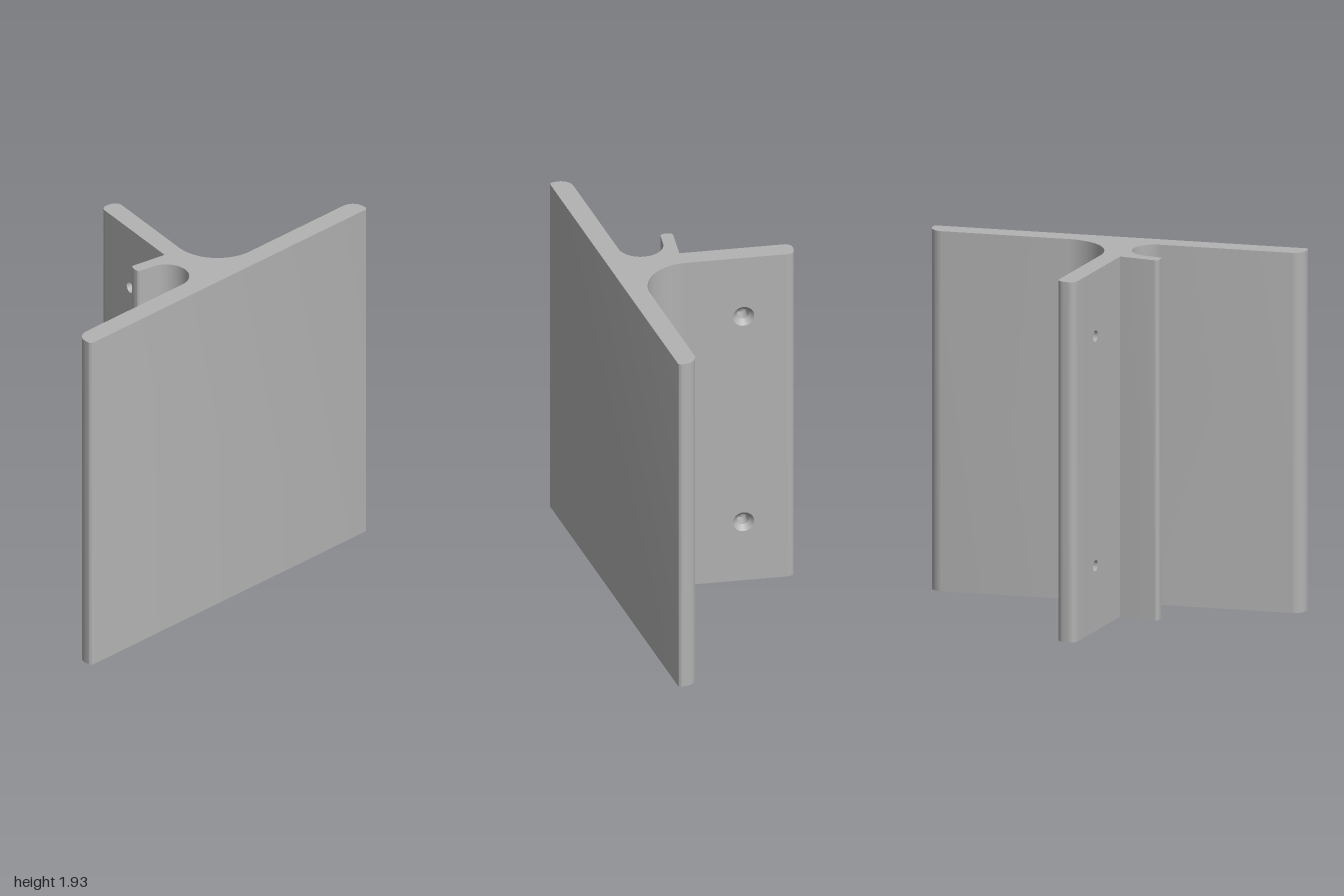
import * as THREE from 'three';
import { toCreasedNormals } from 'three/addons/utils/BufferGeometryUtils.js';

const HEIGHT = 1.93;
const TILT = Math.PI / 18;          // lean of the web in plan
const T_LEFT = -0.071, T_RIGHT = 0.033; // web faces, measured along its normal
const PLATE_START = 0.1, PLATE_END = 0.33; // drilled stretch of the web
const HOLE_S = 0.214, HOLE_YS = [0.35, 1.58];
const BORE_R = 0.03, SINK_R = 0.056, SINK_DEPTH = 0.028;

// Plan point (x, z) from distance s along the web and t across it
function web(s, t) {
  const c = Math.cos(TILT), n = Math.sin(TILT);
  return new THREE.Vector2(s * n + t * c, -s * c + t * n);
}

// Plan arc, angles in degrees
function arc(center, r, from, to, steps = 16) {
  const points = [];
  for (let i = 0; i <= steps; i++) {
    const a = THREE.MathUtils.degToRad(from + (to - from) * i / steps);
    points.push(new THREE.Vector2(center.x + r * Math.cos(a), center.y + r * Math.sin(a)));
  }
  return points;
}

// Upright prism from a plan outline
function prism(points) {
  const geometry = new THREE.ExtrudeGeometry(new THREE.Shape(points), { depth: HEIGHT, bevelEnabled: false });
  geometry.rotateX(Math.PI / 2).translate(0, HEIGHT, 0);
  return toCreasedNormals(geometry, 0.5);
}

// Layer of the web plate between two depths, pierced by round holes
function drilledLayer(t0, t1, radius) {
  const shape = new THREE.Shape([
    new THREE.Vector2(PLATE_START, 0), new THREE.Vector2(PLATE_END, 0),
    new THREE.Vector2(PLATE_END, HEIGHT), new THREE.Vector2(PLATE_START, HEIGHT),
  ]);
  for (const y of HOLE_YS) {
    shape.holes.push(new THREE.Path().absarc(HOLE_S, y, radius, 0, Math.PI * 2, true));
  }
  const geometry = new THREE.ExtrudeGeometry(shape, { depth: t1 - t0, bevelEnabled: false, curveSegments: 32 });
  geometry.translate(0, 0, t0);
  return toCreasedNormals(geometry, 0.5);
}

export function createModel() {
  const model = new THREE.Group();
  const metal = new THREE.MeshStandardMaterial({ color: 0xb2b2b2 });
  metal.name = 'plain grey metal';

  const add = (parent, name, geometry) => {
    const mesh = new THREE.Mesh(geometry, metal);
    mesh.name = name;
    parent.add(mesh);
    return mesh;
  };
  const v = (x, z) => new THREE.Vector2(x, z);

  // Flange, root fillets, side lip and the foot of the web
  add(model, 'flangeAndLip', prism([
    web(PLATE_START, T_LEFT),
    web(-0.106, T_LEFT),
    ...arc(web(-0.126, -0.263), 0.02, -80, -170, 8),
    ...arc(web(-0.152, -0.263), 0.02, -170, -260, 8),
    ...arc(v(-0.234, 0.2546), 0.1194, -80, 90, 32),
    ...arc(v(-0.93, 0.444), 0.07, -90, -180),
    ...arc(v(-0.98, 0.463), 0.02, 180, 90, 8),
    ...arc(v(0.98, 0.463), 0.02, 90, 0, 8),
    ...arc(v(0.93, 0.444), 0.07, 0, -90),
    ...arc(v(0.2536, 0.134), 0.24, 90, 190, 32),
    web(PLATE_START, T_RIGHT),
  ]));

  // Rounded free edge of the web
  add(model, 'webTip', prism([
    web(PLATE_END, T_LEFT),
    web(PLATE_END, T_RIGHT),
    ...arc(web(0.444, T_RIGHT - 0.04), 0.04, 10, -80),
    ...arc(web(0.444, T_LEFT + 0.04), 0.04, -80, -170),
  ]));

  // Drilled plate, built flat and turned to the lean of the web
  const plate = new THREE.Group();
  plate.name = 'drilledWeb';
  plate.rotation.y = Math.PI / 2 - TILT;
  model.add(plate);
  const seat = T_RIGHT - SINK_DEPTH;
  add(plate, 'webCore', drilledLayer(T_LEFT, seat, BORE_R));
  add(plate, 'webFace', drilledLayer(seat, T_RIGHT, SINK_R));

  // Conical countersinks, facing inward
  for (const y of HOLE_YS) {
    const cone = new THREE.LatheGeometry([v(SINK_R, T_RIGHT), v(BORE_R, seat)], 64);
    cone.rotateX(Math.PI / 2);
    add(plate, 'countersink', cone).position.set(HOLE_S, y, 0);
  }

  return model;
}
